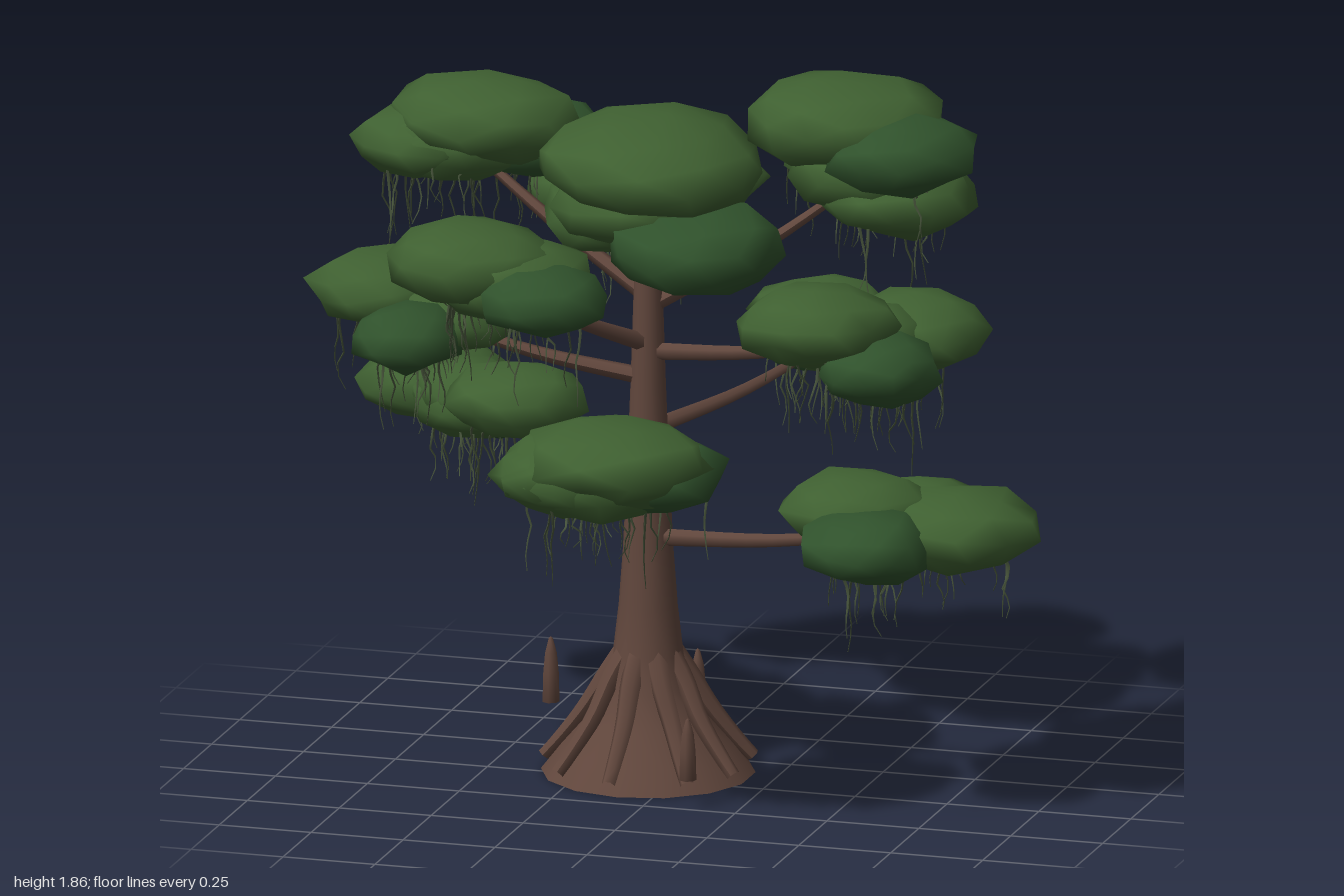
import * as THREE from 'three';
import { mergeGeometries, mergeVertices } from 'three/addons/utils/BufferGeometryUtils.js';

const V = (x, y, z) => new THREE.Vector3(x, y, z);
const TX = -0.09, TZ = -0.09; // trunk axis

function seeded(seed) {
  return () => {
    seed = (seed * 1664525 + 1013904223) % 4294967296;
    return seed / 4294967296;
  };
}

// Tube along points whose radius shrinks from r0 to r1
function taperedTube(points, r0, r1, segments, sides) {
  const curve = new THREE.CatmullRomCurve3(points);
  const geo = new THREE.TubeGeometry(curve, segments, 1, sides);
  const pos = geo.attributes.position, v = V(0, 0, 0);
  for (let i = 0; i < pos.count; i++) {
    const t = Math.floor(i / (sides + 1)) / segments;
    const c = curve.getPointAt(t);
    v.fromBufferAttribute(pos, i).sub(c).multiplyScalar(r0 + (r1 - r0) * t).add(c);
    pos.setXYZ(i, v.x, v.y, v.z);
  }
  geo.computeVertexNormals();
  return geo;
}

// Thickness of a leaf pad grows with its radius
const padHeight = r => 0.045 + 0.27 * r;

// Flattened, irregular leaf pad
function padGeometry(r, rand) {
  let geo = new THREE.IcosahedronGeometry(1, 1);
  geo.deleteAttribute('normal');
  geo.deleteAttribute('uv');
  geo = mergeVertices(geo, 1e-4);
  geo.rotateX(rand() * 3).rotateY(rand() * 6);
  const pos = geo.attributes.position;
  for (let i = 0; i < pos.count; i++) {
    const k = 0.92 + rand() * 0.24;
    pos.setXYZ(i, pos.getX(i) * k * r, pos.getY(i) * k * padHeight(r), pos.getZ(i) * k * r);
  }
  geo.computeVertexNormals();
  return geo;
}

// Branch height on the trunk, main pad (x, y, z, r), second pad (x, y, z, r), dark pad (x, y, z)
const clusters = {
  crown: [1.3, -0.09, 1.64, -0.1, 0.3, -0.12, 1.52, -0.12, 0.2, 0.06, 1.45, -0.01],
  upperLeftFoliage: [1.25, 0.39, 1.74, -0.29, 0.25, 0.53, 1.55, -0.29, 0.2, 0.57, 1.69, -0.2],
  upperRightFoliage: [1.28, -0.59, 1.67, -0.29, 0.24, -0.72, 1.62, -0.25, 0.17, -0.47, 1.61, -0.36],
  upperFrontFoliage: [1.15, -0.42, 1.48, 0.4, 0.21, -0.3, 1.44, 0.38, 0.19, -0.21, 1.41, 0.48],
  upperBackFoliage: [1.22, -0.17, 1.44, -0.64, 0.21, -0.4, 1.42, -0.58, 0.17, -0.24, 1.38, -0.67],
  middleRightFoliage: [1.06, -0.79, 1.27, -0.01, 0.19, -0.59, 1.22, 0.02, 0.17, -0.66, 1.2, 0.2],
  middleLeftFoliage: [1.13, 0.45, 1.32, 0.18, 0.2, 0.64, 1.25, -0.08, 0.18, 0.62, 1.21, 0.18],
  middleFrontFoliage: [0.87, 0.03, 1.02, 0.59, 0.25, -0.09, 1, 0.63, 0.18, 0.1, 0.98, 0.53],
  middleBackFoliage: [0.92, 0.22, 1.11, -0.63, 0.18, 0.28, 1.06, -0.66, 0.14, 0.17, 1.04, -0.65],
  lowerRightFoliage: [0.74, -0.77, 0.91, -0.43, 0.2, -0.44, 0.98, -0.07, 0.18, -0.57, 0.91, -0.27],
  lowerLeftFoliage: [0.63, 0.78, 0.77, 0.07, 0.22, 0.54, 0.81, 0.12, 0.19, 0.62, 0.76, 0.3],
};

// Five pads of a cluster: two lead pads, a dark one, one opposite it and a core between
function clusterPads([x, y, z, r, x2, y2, z2, r2, x3, y3, z3]) {
  const main = V(x, y, z), second = V(x2, y2, z2), dark = V(x3, y3, z3);
  const core = main.clone().lerp(second, 0.5);
  const fill = core.clone().lerp(dark, -0.5);
  core.y -= 0.035;
  fill.y = (y2 + y3) / 2;
  return [
    { at: main, r },
    { at: second, r: r2 },
    { at: dark, r: r * 0.78, dark: true },
    { at: fill, r: r * 0.7 },
    { at: core, r: r * 0.8 },
  ];
}

export function createModel() {
  const makeMaterial = (name, color) => {
    const material = new THREE.MeshStandardMaterial({ color });
    material.name = name;
    return material;
  };
  const bark = makeMaterial('bark', 0x60463c);
  const leaf = makeMaterial('leafGreen', 0x3f6031);
  const darkLeaf = makeMaterial('darkLeafGreen', 0x30522c);
  const moss = makeMaterial('moss', 0x46533a);
  moss.side = THREE.DoubleSide;
  const tree = new THREE.Group();
  tree.name = 'swampTree';
  const add = (parent, name, geo, material) => {
    const mesh = new THREE.Mesh(geo, material);
    mesh.name = name;
    parent.add(mesh);
    return mesh;
  };
  const rand = seeded(17);

  // Flared trunk with a closed base
  const profile = [[0.28, 0], [0.225, 0.07], [0.155, 0.15], [0.115, 0.23], [0.092, 0.32],
    [0.077, 0.45], [0.066, 0.6], [0.056, 0.8], [0.046, 1.05], [0.03, 1.55]];
  const toProfile = points => points.map(p => new THREE.Vector2(...p));
  add(tree, 'trunk', new THREE.LatheGeometry(toProfile(profile), 14), bark).position.set(TX, 0, TZ);
  const base = new THREE.CircleGeometry(0.28, 14).rotateX(Math.PI / 2);
  add(tree, 'trunkBase', base, bark).position.set(TX, 0, TZ);

  // Buttress roots running down the flare
  const roots = new THREE.Group();
  roots.name = 'roots';
  tree.add(roots);
  for (let i = 0; i < 9; i++) {
    const a = (i + 0.25 + rand() * 0.3) / 9 * Math.PI * 2;
    const bend = (rand() - 0.5) * 0.35;
    const at = (r, y, d) => V(TX + Math.cos(a + d) * r, y, TZ + Math.sin(a + d) * r);
    const path = [at(0.05, 0.34, 0), at(0.105, 0.26, 0), at(0.165, 0.165, bend),
      at(0.235, 0.075, bend), at(0.275, 0.03, bend)];
    add(roots, 'root', taperedTube(path, 0.032, 0.018, 10, 6), bark);
  }

  // Knees standing around the trunk: x, z, top
  const knees = [[0.115, 0.23, 0.24], [-0.45, -0.4, 0.25], [-0.05, -0.4, 0.25],
    [-0.11, -0.36, 0.2], [-0.1, -0.42, 0.2]];
  for (const [x, z, top] of knees) {
    const h = top - 0.075;
    const outline = [[0, 0], [0.023, 0], [0.021, h * 0.45], [0.016, h * 0.75], [0.006, h * 0.97], [0, h]];
    add(tree, 'knee', new THREE.LatheGeometry(toProfile(outline), 7), bark).position.set(x, 0.075, z);
  }

  // Leaf pads, and the branches and hanging moss below the crown
  for (const [name, [start, ...layout]] of Object.entries(clusters)) {
    const group = new THREE.Group();
    group.name = name;
    tree.add(group);
    const pads = clusterPads(layout);
    for (const { at, r, dark } of pads) {
      add(group, 'leafPad', padGeometry(r, rand), dark ? darkLeaf : leaf).position.copy(at);
    }
    if (name === 'crown') continue;

    const from = V(TX, start, TZ);
    const end = pads[4].at;
    const bend = from.clone().lerp(end, 0.5).add(V(0.01, -0.015, 0.01));
    add(group, 'branch', taperedTube([from, bend, end], 0.024, 0.011, 10, 6), bark);

    const strands = [];
    for (const { at, r } of pads) {
      for (let i = 0; i < 6; i++) {
        const a = rand() * Math.PI * 2, d = r * (0.3 + 0.55 * rand()), length = 0.1 + rand() * 0.14;
        const top = V(Math.cos(a) * d, -padHeight(r) * 0.5, Math.sin(a) * d).add(at);
        const path = [top];
        for (let k = 1; k <= 4; k++) {
          const sway = V(rand() - 0.5, 0, rand() - 0.5).multiplyScalar(0.03);
          path.push(sway.add(top).add(V(0, -length * k / 4, 0)));
        }
        strands.push(taperedTube(path, 0.005, 0.0012, 6, 3));
      }
    }
    add(group, 'hangingMoss', mergeGeometries(strands), moss);
  }
  return tree;
}
